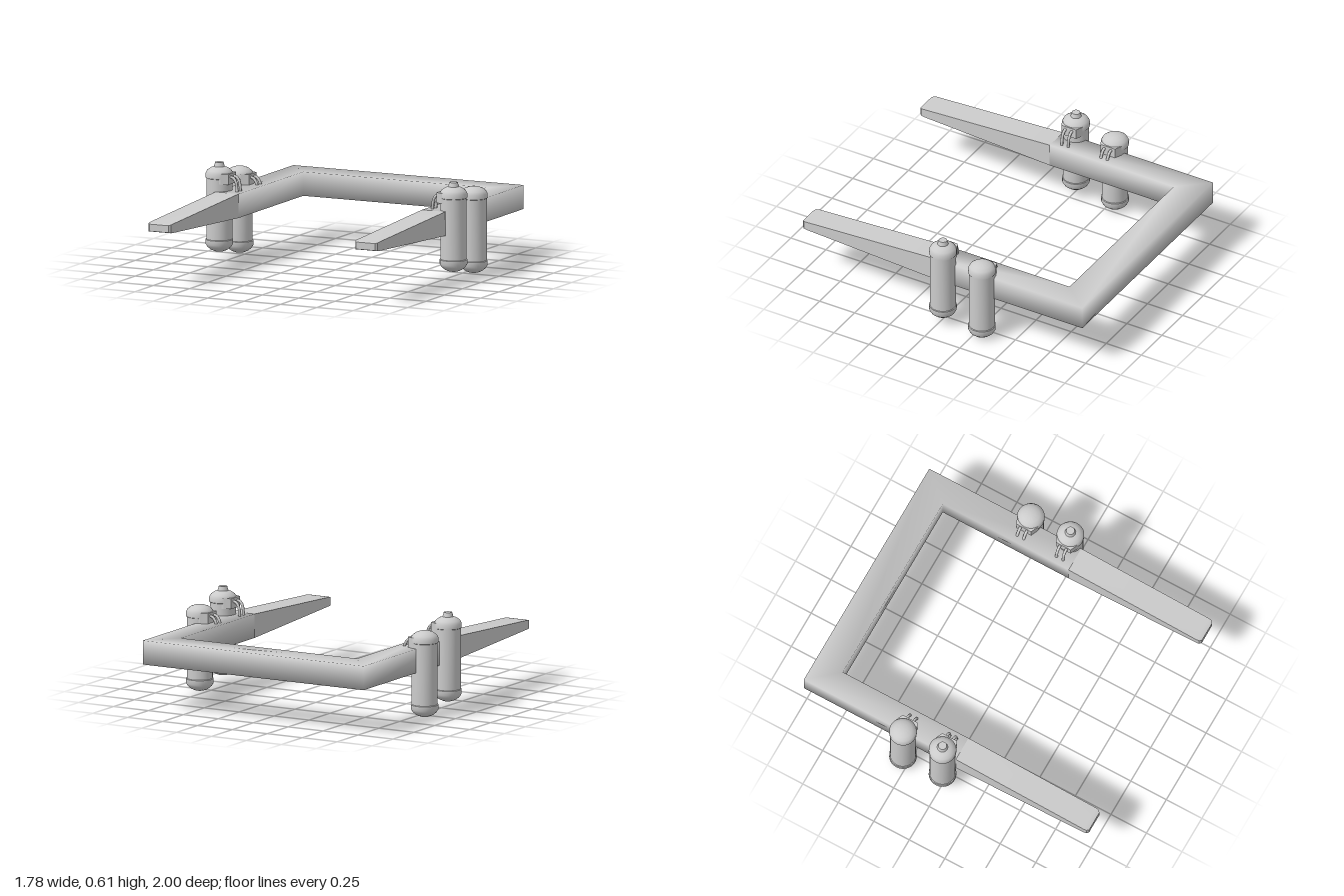
import * as THREE from 'three';
import { toCreasedNormals } from 'three/addons/utils/BufferGeometryUtils.js';

const material = new THREE.MeshStandardMaterial({ color: 0xcccccc, side: THREE.DoubleSide });

function mesh(name, geometry) {
  const m = new THREE.Mesh(geometry, material);
  m.name = name;
  return m;
}

// Skins a row of four-cornered sections, each given as [outerX, outerZ, innerX, innerZ, bottom, top]
function loft(sections, capEnd) {
  const positions = [], index = [];
  for (const [ox, oz, ix, iz, lo, hi] of sections) {
    positions.push(ox, lo, oz, ox, hi, oz, ix, hi, iz, ix, lo, iz);
  }
  for (let s = 0; s < sections.length - 1; s++) {
    for (let k = 0; k < 4; k++) {
      const a = s * 4 + k, b = s * 4 + (k + 1) % 4;
      index.push(a, a + 4, b, b, a + 4, b + 4);
    }
  }
  if (capEnd) {
    const e = (sections.length - 1) * 4;
    index.push(e, e + 2, e + 1, e, e + 3, e + 2);
  }
  const g = new THREE.BufferGeometry();
  g.setAttribute('position', new THREE.Float32BufferAttribute(positions, 3));
  g.setIndex(index);
  g.computeVertexNormals();
  return g;
}

// Upright canister with domed, slightly wider end caps
function canister(bottom, top) {
  const h = top - bottom;
  const profile = [
    [0, 0], [0.03, 0.004], [0.055, 0.015], [0.075, 0.032], [0.085, 0.05], [0.085, 0.077], [0.08, 0.08],
    [0.08, h - 0.075], [0.085, h - 0.072], [0.085, h - 0.045], [0.075, h - 0.027], [0.055, h - 0.012],
    [0.03, h - 0.003], [0, h],
  ].map(([r, y]) => new THREE.Vector2(r, y + bottom));
  return toCreasedNormals(new THREE.LatheGeometry(profile, 32), 0.7);
}

// One canister with its hose fitting and pair of hoses, on the +x side
function tankUnit(name, z, bottom, top, knob) {
  const group = new THREE.Group();
  group.name = name;
  group.position.set(0.805, 0, z);
  group.add(mesh('canister', canister(bottom, top)));

  if (knob) {
    const cap = mesh('topKnob', new THREE.CylinderGeometry(0.026, 0.034, 0.03, 20));
    cap.position.y = top + 0.008;
    group.add(cap);
  }

  // Fitting narrows towards the hoses
  const shape = new THREE.Shape();
  shape.moveTo(0, -0.075);
  shape.lineTo(-0.045, -0.072);
  shape.lineTo(-0.09, -0.052);
  shape.lineTo(-0.09, 0.052);
  shape.lineTo(-0.045, 0.072);
  shape.lineTo(0, 0.075);
  const fitting = new THREE.ExtrudeGeometry(shape, { depth: 0.065, bevelEnabled: false });
  fitting.rotateX(-Math.PI / 2);
  const block = mesh('hoseFitting', fitting);
  block.position.y = top - 0.105;
  group.add(block);

  for (const dz of [-0.023, 0.023]) {
    const path = new THREE.CatmullRomCurve3([
      [-0.08, top - 0.06], [-0.105, top - 0.065], [-0.125, top - 0.09], [-0.135, 0.425],
    ].map(([x, y]) => new THREE.Vector3(x, y, dz)));
    group.add(mesh('hose', new THREE.TubeGeometry(path, 16, 0.009, 10)));
  }
  return group;
}

export function createModel() {
  const model = new THREE.Group();
  model.name = 'carrierFrame';

  // U-shaped frame: both straight arms and the mitred rear beam
  const lo = 0.29, hi = 0.44;
  model.add(mesh('rearFrame', loft([
    [-0.79, 0.07, -0.63, 0.07, lo, hi],
    [-0.79, -1, -0.63, -0.815, lo, hi],
    [0.79, -1, 0.63, -0.815, lo, hi],
    [0.79, 0.07, 0.63, 0.07, lo, hi],
  ], false)));

  // Each side: tapering arm tip and two canisters
  for (const side of [1, -1]) {
    const half = new THREE.Group();
    half.name = side > 0 ? 'leftSide' : 'rightSide';
    half.scale.x = side;
    half.add(mesh('taperedArm', toCreasedNormals(loft([
      [0.79, 0.07, 0.63, 0.07, lo, hi],
      [0.79, 0.97, 0.63, 0.97, 0.337, 0.393],
      [0.787, 0.988, 0.633, 0.988, 0.338, 0.39],
      [0.775, 1, 0.645, 1, 0.342, 0.386],
    ], true), 0.6)));
    half.add(tankUnit('frontTank', -0.015, 0.055, 0.59, true));
    half.add(tankUnit('rearTank', -0.293, 0.005, 0.545, false));
    model.add(half);
  }
  return model;
}
